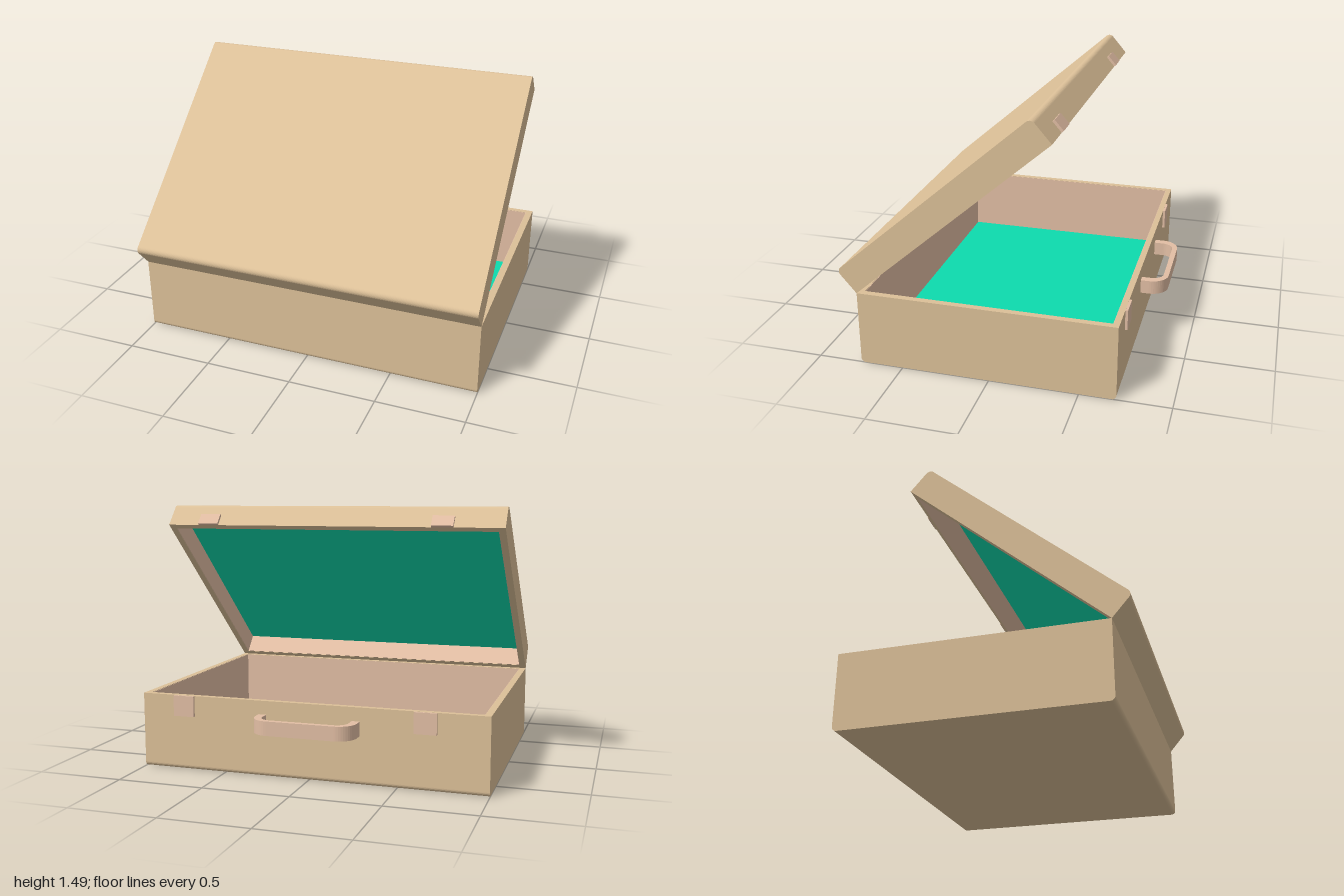
import * as THREE from 'three';

const W = 2, D = 1.45, WALL_X = 0.037, WALL_Z = 0.033, FLOOR = 0.035;
const mat = (color) => new THREE.MeshStandardMaterial({ color, flatShading: true });
const tan = mat(0xdcc098), skin = mat(0xe2bea4), green = mat(0x0ddbae);

function add(parent, name, geometry, material) {
  const mesh = new THREE.Mesh(geometry, material);
  mesh.name = name;
  parent.add(mesh);
  return mesh;
}

function rectPath(path, w, d) {
  path.moveTo(-w / 2, -d / 2);
  path.lineTo(w / 2, -d / 2);
  path.lineTo(w / 2, d / 2);
  path.lineTo(-w / 2, d / 2);
  path.closePath();
  return path;
}

// Rectangular frame standing on y0
function frame(w, d, innerW, innerD, y0, height) {
  const shape = rectPath(new THREE.Shape(), w, d);
  shape.holes.push(rectPath(new THREE.Path(), innerW, innerD));
  return new THREE.ExtrudeGeometry(shape, { depth: height, bevelEnabled: false })
    .rotateX(-Math.PI / 2).translate(0, y0, 0);
}

// Open tray, floor at y = 0 and rim at y = h, long lower edges rounded
function tray(name, h, r) {
  const g = new THREE.Group();
  g.name = name;
  const p = new THREE.Shape();
  p.moveTo(-D / 2, FLOOR);
  p.lineTo(-D / 2, r);
  p.absarc(-D / 2 + r, r, r, Math.PI, Math.PI * 1.5, false);
  p.absarc(D / 2 - r, r, r, Math.PI * 1.5, Math.PI * 2, false);
  p.lineTo(D / 2, FLOOR);
  p.closePath();
  const slab = new THREE.ExtrudeGeometry(p, { depth: W, bevelEnabled: false, curveSegments: 5 })
    .translate(0, 0, -W / 2).rotateY(Math.PI / 2);
  const iw = W - 2 * WALL_X, id = D - 2 * WALL_Z, t = 0.003;
  add(g, name + 'Panel', slab, tan);
  add(g, name + 'Walls', frame(W, D, iw, id, FLOOR, h - FLOOR), tan);
  // Inner wall lining and coloured floor lining
  add(g, name + 'WallLining', frame(iw, id, iw - 2 * t, id - 2 * t, FLOOR, h - FLOOR - 0.002), skin);
  add(g, name + 'FloorLining', new THREE.BoxGeometry(iw - 2 * t, 0.004, id - 2 * t)
    .translate(0, FLOOR + 0.002, 0), green);
  return g;
}

// Flat carrying handle with rounded corners
function handleGeometry() {
  const a = 0.292, L = 0.148, R = 0.1, tx = 0.045, tz = 0.03, r = 0.065;
  const s = new THREE.Shape();
  s.moveTo(a, 0);
  s.lineTo(a, L - R);
  s.absarc(a - R, L - R, R, 0, Math.PI / 2, false);
  s.absarc(-a + R, L - R, R, Math.PI / 2, Math.PI, false);
  s.lineTo(-a, 0);
  s.lineTo(-a + tx, 0);
  s.lineTo(-a + tx, L - tz - r);
  s.absarc(-a + tx + r, L - tz - r, r, Math.PI, Math.PI / 2, true);
  s.absarc(a - tx - r, L - tz - r, r, Math.PI / 2, 0, true);
  s.lineTo(a - tx, 0);
  s.closePath();
  return new THREE.ExtrudeGeometry(s, { depth: 0.08, bevelEnabled: false, curveSegments: 6 })
    .rotateX(-Math.PI / 2);
}

export function createModel() {
  const model = new THREE.Group();
  model.name = 'openCase';
  const baseH = 0.43, lidH = 0.165, hingeZ = 0.747;

  const base = tray('base', baseH, 0.025);
  base.position.z = hingeZ - D / 2;
  model.add(base);

  // Lid swung open about the hinge edge
  const lid = new THREE.Group();
  lid.name = 'lid';
  lid.position.set(0, baseH, hingeZ);
  lid.rotation.x = 0.715;
  const shell = tray('lidShell', lidH, 0.03);
  shell.rotation.x = Math.PI;
  shell.position.set(0, lidH, -D / 2);
  lid.add(shell);
  model.add(lid);

  // Latch plates on base and lid
  for (const x of [-0.656, 0.743]) {
    add(model, 'baseLatch', new THREE.BoxGeometry(0.124, 0.118, 0.014), skin)
      .position.set(x, baseH - 0.06, hingeZ - D - 0.007);
    add(lid, 'lidLatch', new THREE.BoxGeometry(0.124, 0.073, 0.015), skin)
      .position.set(x, 0.0365, -D - 0.0075);
  }

  add(model, 'handle', handleGeometry(), skin).position.set(-0.002, 0.273, hingeZ - D);
  return model;
}
